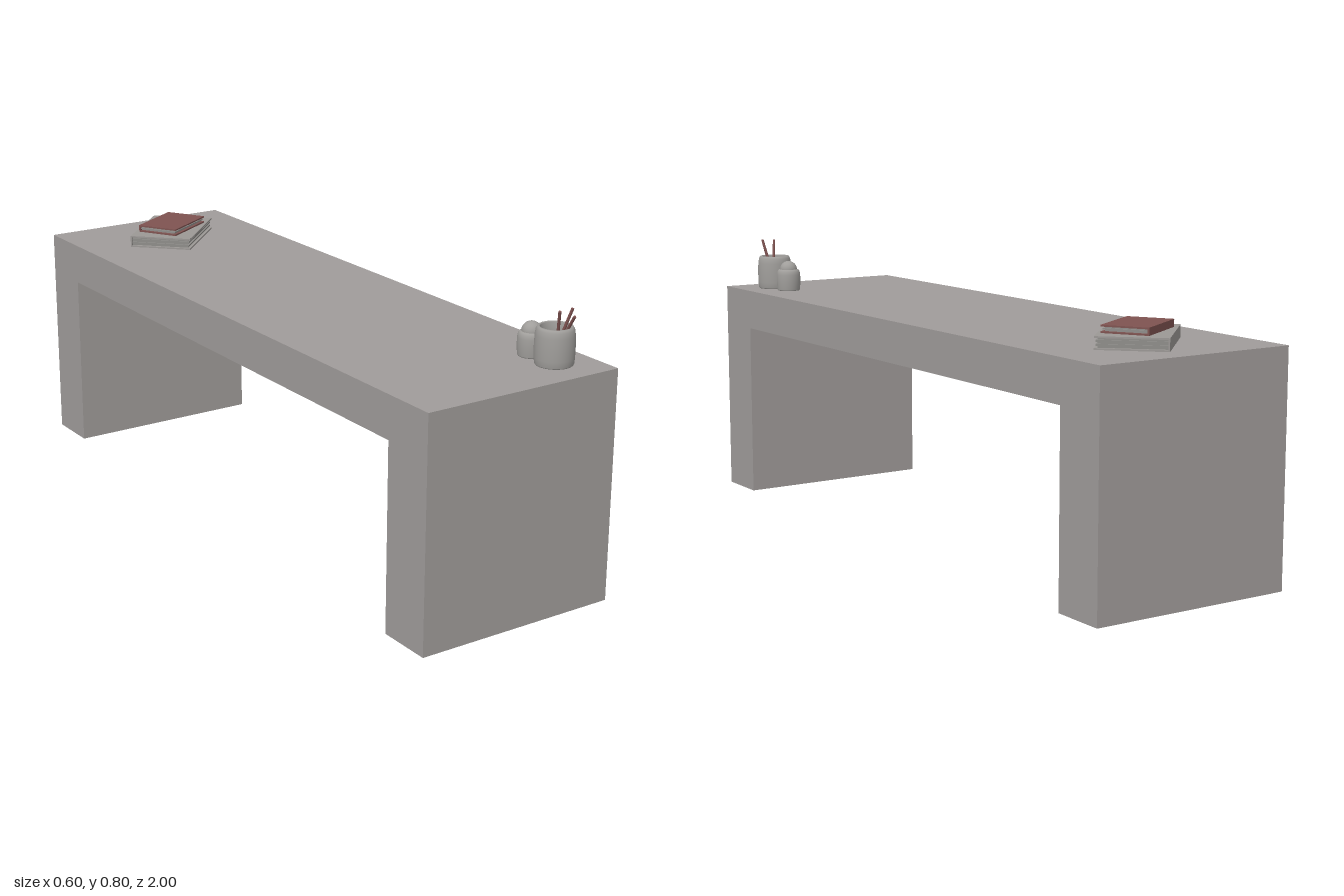
import * as THREE from 'three';

const mat = (name, color, side = THREE.FrontSide) => {
  const m = new THREE.MeshStandardMaterial({ color, side });
  m.name = name;
  return m;
};

export function createModel() {
  const stone = mat('bench stone', 0xa09c9a, THREE.DoubleSide);
  const ceramic = mat('grey ceramic', 0xa09e9b);
  const greyCover = mat('grey cover', 0x9b9895);
  const paper = mat('paper', 0x8f8d8a);
  const red = mat('dusty red', 0x7f5351);
  const top = 0.65;

  const model = new THREE.Group();
  model.name = 'benchWithObjects';
  const add = (parent, name, geometry, material, x = 0, y = 0, z = 0) => {
    const mesh = new THREE.Mesh(geometry, material);
    mesh.name = name;
    mesh.position.set(x, y, z);
    parent.add(mesh);
    return mesh;
  };

  // Bench: U-shaped profile swept across the width, legs left open underneath
  const profile = [[-1, 0], [-0.84, 0], [-0.84, 0.53], [0.84, 0.53], [0.84, 0], [1, 0], [1, top], [-1, top]];
  const shape = new THREE.Shape(profile.map(([z, y]) => new THREE.Vector2(z, y)));
  const solid = new THREE.ExtrudeGeometry(shape, { depth: 0.604, bevelEnabled: false });
  solid.translate(0, 0, -0.302).rotateY(-Math.PI / 2);
  const p = solid.attributes.position;
  const kept = [];
  for (let i = 0; i < p.count; i += 3) {
    const isSole = [0, 1, 2].every((k) => Math.abs(p.getY(i + k)) < 1e-5);
    if (!isSole) kept.push(i, i + 1, i + 2);
  }
  solid.setIndex(kept);
  solid.clearGroups();
  add(model, 'bench', solid, stone);

  // Books: two covers, a spine at the back and layered pages set in from the edges
  const makeBook = (name, w, d, h, y, z, angle, cover, layers) => {
    const book = new THREE.Group();
    book.name = name;
    const t = 0.0045;
    const box = (part, bw, bh, bd, m, by, bz = 0) =>
      add(book, part, new THREE.BoxGeometry(bw, bh, bd), m, 0, by, bz);
    box('bottomCover', w, t, d, cover, t / 2);
    box('topCover', w, t, d, cover, h - t / 2);
    box('spine', w, h - 2 * t, t, cover, h / 2, -d / 2 + t / 2);
    const step = (h - 2 * t) / layers;
    for (let i = 0; i < layers; i++) {
      const inset = i % 2 ? 0.004 : 0.009;
      box('pages', w - 2 * inset, step, d - inset - t, paper, t + step * (i + 0.5), (t - inset) / 2);
    }
    book.position.set(-0.001, y, z);
    book.rotation.y = angle;
    model.add(book);
  };
  makeBook('largeBook', 0.272, 0.192, 0.035, top, -0.762, Math.PI / 4, greyCover, 5);
  makeBook('smallBook', 0.19, 0.131, 0.021, top + 0.035, -0.76, 0.55, red, 3);

  const lathe = (points, segments = 32) =>
    new THREE.LatheGeometry(points.map(([r, y]) => new THREE.Vector2(r, y)), segments);

  // Pencil cup with rounded shoulder and hollow inside
  add(model, 'pencilCup', lathe([
    [0, 0], [0.049, 0], [0.0515, 0.003], [0.053, 0.02], [0.0535, 0.05], [0.0525, 0.08],
    [0.05, 0.095], [0.046, 0.102], [0.042, 0.103], [0.039, 0.1], [0.038, 0.08],
    [0.038, 0.012], [0, 0.01],
  ]), ceramic, 0.189, top, 0.882);

  // Pencils leaning in the cup
  const pencils = [
    [[0.199, 0.665, 0.876], [0.173, 0.801, 0.914]],
    [[0.201, 0.665, 0.862], [0.197, 0.791, 0.944]],
    [[0.191, 0.665, 0.872], [0.214, 0.803, 0.916]],
  ];
  pencils.forEach(([a, b]) => {
    const from = new THREE.Vector3(...a);
    const dir = new THREE.Vector3(...b).sub(from);
    const mid = from.clone().addScaledVector(dir, 0.5);
    const pencil = add(model, 'pencil', new THREE.CylinderGeometry(0.004, 0.004, dir.length(), 8), red, mid.x, mid.y, mid.z);
    pencil.quaternion.setFromUnitVectors(new THREE.Vector3(0, 1, 0), dir.normalize());
  });

  // Small jar with a domed lid
  add(model, 'jar', lathe([
    [0, 0], [0.034, 0], [0.036, 0.003], [0.0375, 0.03], [0.037, 0.05],
    [0.035, 0.06], [0.031, 0.066], [0.026, 0.067], [0, 0.067],
  ]), ceramic, 0.186, top, 0.793);
  add(model, 'jarLid', new THREE.SphereGeometry(0.027, 24, 10, 0, Math.PI * 2, 0, Math.PI / 2),
    ceramic, 0.186, top + 0.066, 0.793);

  return model;
}
